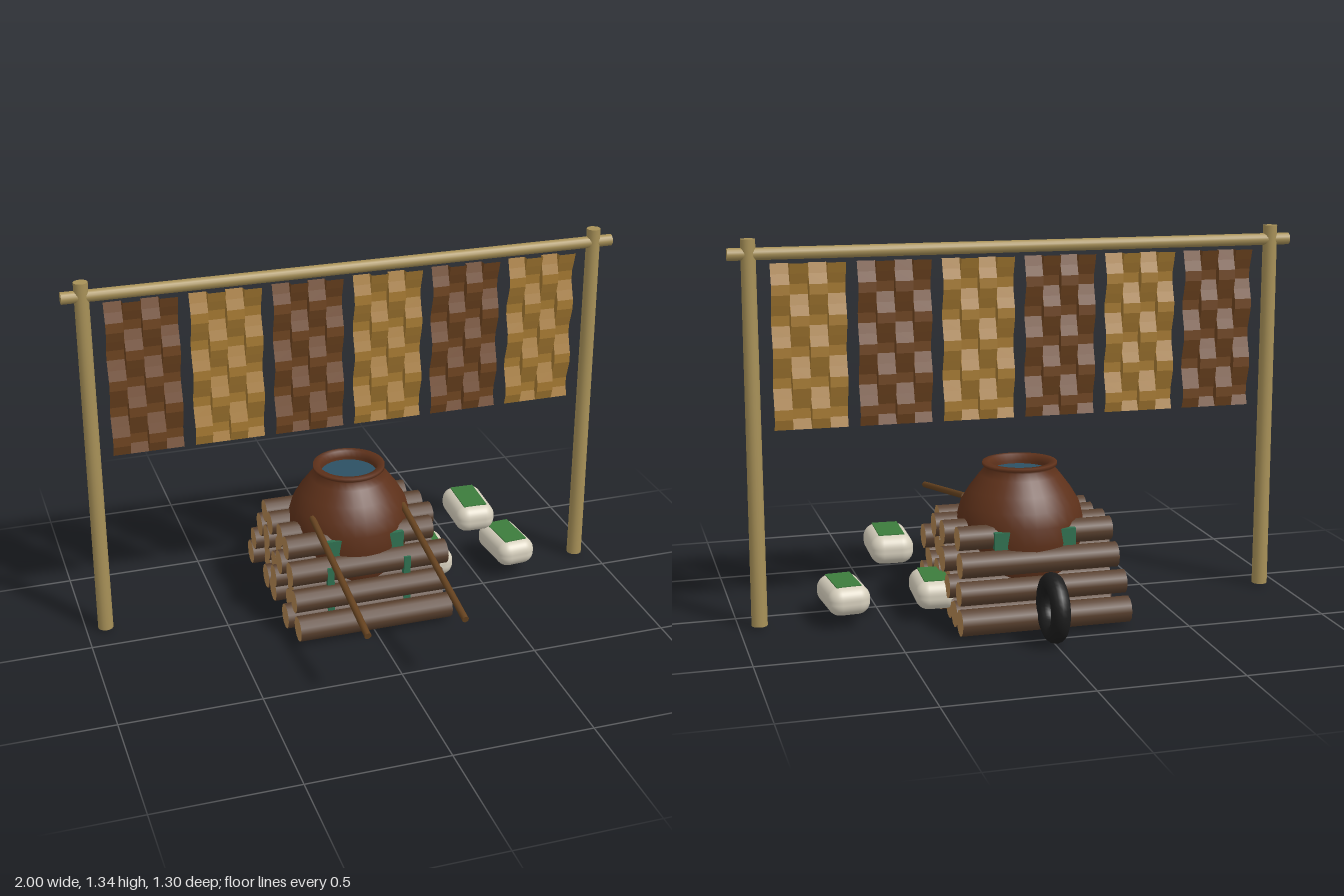
import * as THREE from 'three';
import { RoundedBoxGeometry } from 'three/addons/geometries/RoundedBoxGeometry.js';

const mat = (color, extra = {}) => new THREE.MeshStandardMaterial({ color, ...extra });
const CZ = -0.115; // depth of the centre line

export function createModel() {
  const root = new THREE.Group();
  const bamboo = mat(0xa89158), bark = mat(0x59402e), cut = mat(0xb08550);
  const clay = mat(0x5e311a, { side: THREE.DoubleSide }), green = mat(0x2f7050);
  const wood = mat(0x65421f), rubber = mat(0x1c1c1c), sack = mat(0xd6cfbd);
  const label = mat(0x3c7c3c), water = mat(0x2c5064);
  const cloths = [0x6e4420, 0xa67a32].map(c => mat(c, { side: THREE.DoubleSide, flatShading: true }));

  function add(name, geometry, material, x = 0, y = 0, z = 0, parent = root) {
    const mesh = new THREE.Mesh(geometry, material);
    mesh.name = name;
    mesh.position.set(x, y, z);
    parent.add(mesh);
    return mesh;
  }

  // Drying rack
  for (const s of [-1, 1]) {
    add('rackPost', new THREE.CylinderGeometry(0.025, 0.028, 1.33, 16), bamboo, s * 0.93, 0.675, CZ);
  }
  add('rackBeam', new THREE.CylinderGeometry(0.021, 0.021, 2, 16), bamboo, 0, 1.29, CZ).rotation.z = Math.PI / 2;

  // Woven cloths: neighbouring strips ripple in opposite phase
  function clothGeometry() {
    const strips = 4, rows = 16, w = 0.255, h = 0.565;
    const g = new THREE.PlaneGeometry(w, h, strips * 2 - 1, rows);
    const p = g.attributes.position;
    for (let i = 0; i < p.count; i++) {
      const col = i % (strips * 2), strip = Math.floor(col / 2);
      const x = -w / 2 + (strip + (col % 2)) * w / strips;
      const inset = col % 2 ? -0.001 : 0.001;
      const phase = (p.getY(i) + h / 2) * Math.PI * 2 / 0.21;
      p.setX(i, x + inset);
      p.setZ(i, 0.013 * Math.sin(phase) * (strip % 2 ? -1 : 1));
    }
    g.computeVertexNormals();
    return g;
  }
  const cloth = clothGeometry();
  for (let i = 0; i < 6; i++) {
    add('hangingCloth', cloth, cloths[i % 2], -0.7325 + i * 0.293, 0.973, CZ);
  }

  // Clay pot with an open rim, and the water in it
  const profile = [[0, 0.01], [0.135, 0.01], [0.165, 0.07], [0.195, 0.14], [0.218, 0.21], [0.229, 0.28],
    [0.224, 0.34], [0.21, 0.39], [0.18, 0.44], [0.142, 0.49], [0.122, 0.513], [0.132, 0.522], [0.132, 0.533],
    [0.108, 0.533], [0.102, 0.51], [0.102, 0.48]].map(([x, y]) => new THREE.Vector2(x, y));
  add('pot', new THREE.LatheGeometry(profile, 32), clay, 0, 0, CZ);
  const pool = add('water', new THREE.CircleGeometry(0.104, 32), water, 0, 0.5, CZ);
  pool.rotation.x = -Math.PI / 2;

  // Stand around the pot
  add('standTop', new THREE.BoxGeometry(0.29, 0.06, 0.41), green, 0, 0.302, CZ);
  for (const s of [-1, 1]) {
    add('standLeg', new THREE.BoxGeometry(0.025, 0.24, 0.022), green, s * 0.145, 0.13, 0.124);
  }

  // Log pile in four staggered layers
  const rows = [[7, 0.057, 0.046], [6, 0.142, 0.042], [5, 0.226, 0.045], [4, 0.308, 0.043]];
  rows.forEach(([count, y, r], row) => {
    for (let i = 0; i < count; i++) {
      const k = row * 7 + i;
      const length = 0.575 + 0.025 * Math.sin(k * 2.3);
      const log = add('log', new THREE.CylinderGeometry(r, r, length, 12), [bark, cut, cut],
        0.012 * Math.sin(k * 4.1), y, -0.113 + ((count - 1) / 2 - i) * 0.101);
      log.rotation.z = Math.PI / 2;
    }
  });

  // Stirring sticks leaning to the front
  for (const s of [-1, 1]) {
    const from = new THREE.Vector3(s * 0.173, 0.39, -0.005), to = new THREE.Vector3(s * 0.173, 0.275, 0.645);
    const dir = to.clone().sub(from);
    const mid = from.clone().add(to).multiplyScalar(0.5);
    const stick = add('stick', new THREE.CylinderGeometry(0.012, 0.012, dir.length(), 10), wood, mid.x, mid.y, mid.z);
    stick.quaternion.setFromUnitVectors(new THREE.Vector3(0, 1, 0), dir.normalize());
  }

  // Tyre standing behind the pile
  add('tyre', new THREE.TorusGeometry(0.087, 0.033, 14, 32), rubber, 0, 0.122, -0.53).rotation.y = Math.PI / 2;

  // Sacks with a green panel on top
  const sackGeometry = new RoundedBoxGeometry(0.15, 0.102, 0.235, 5, 0.045);
  const panelGeometry = new THREE.BoxGeometry(0.088, 0.004, 0.165);
  for (const [x, y, z, turn] of [[0.32, 0.097, -0.13, -0.06], [0.477, 0.271, -0.12, -0.04], [0.637, 0.097, -0.115, 0.08]]) {
    const g = new THREE.Group();
    g.name = 'sack';
    g.position.set(x, y, z);
    g.rotation.y = turn;
    root.add(g);
    add('sackBody', sackGeometry, sack, 0, 0, 0, g);
    add('sackPanel', panelGeometry, label, 0, 0.051, 0, g);
  }
  return root;
}
